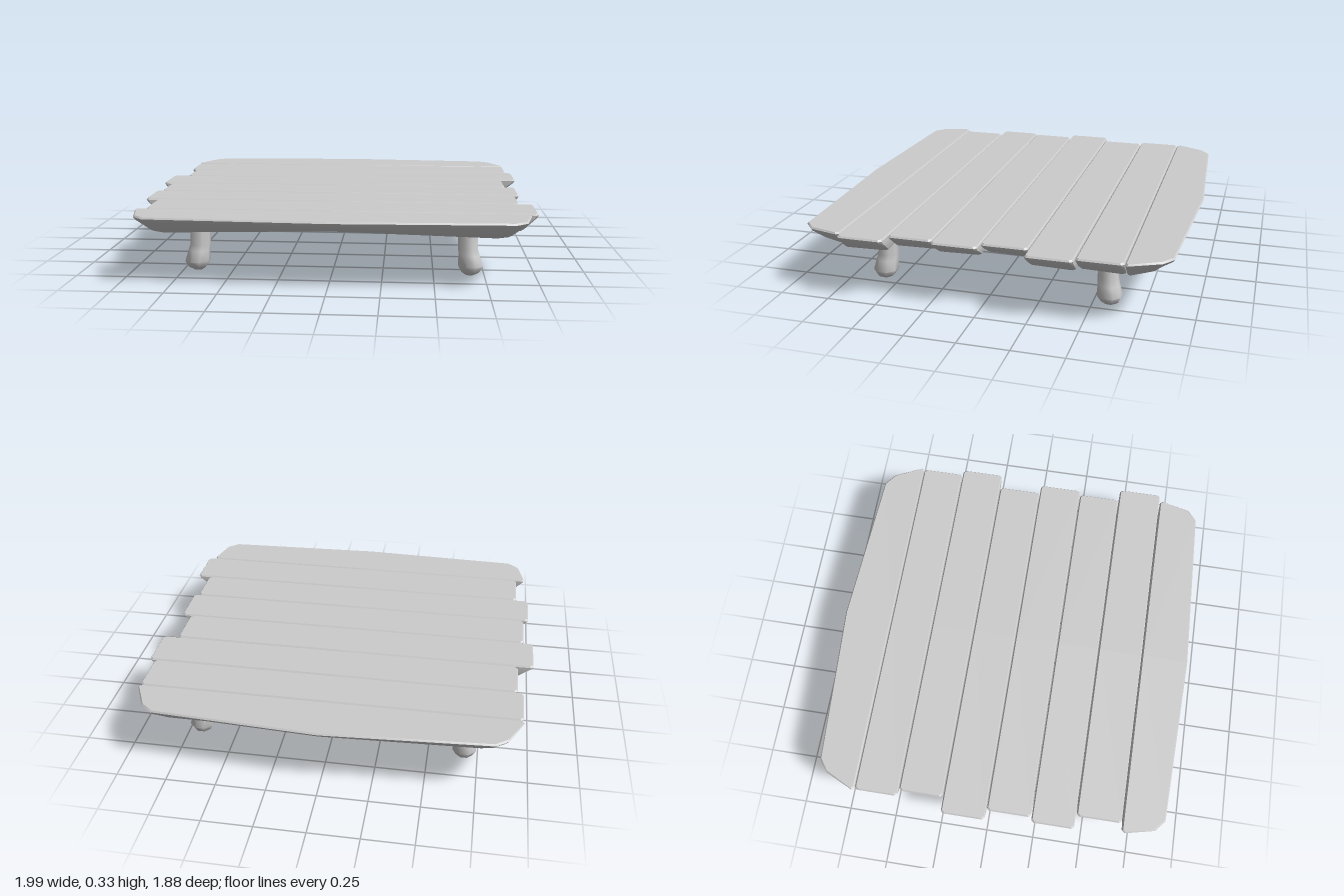
import * as THREE from 'three';
import { toCreasedNormals } from 'three/addons/utils/BufferGeometryUtils.js';

const material = new THREE.MeshStandardMaterial({ color: 0xcccccc });

// Skin a stack of rings (top to bottom) and close both ends with fans from point 0.
function loft(rings, crease, name) {
  const n = rings[0].length;
  const area = rings[0].reduce((s, p, i) => {
    const q = rings[0][(i + 1) % n];
    return s + p[0] * q[2] - q[0] * p[2];
  }, 0);
  if (area < 0) rings = rings.map((r) => [r[0], ...r.slice(1).reverse()]);
  const index = [];
  const last = (rings.length - 1) * n;
  for (let k = 0; k < last; k += n) {
    for (let i = 0; i < n; i++) {
      const j = (i + 1) % n;
      index.push(k + i, k + j, k + n + i, k + j, k + n + j, k + n + i);
    }
  }
  for (let i = 1; i < n - 1; i++) index.push(0, i + 1, i, last, last + i, last + i + 1);
  const geometry = new THREE.BufferGeometry();
  geometry.setAttribute('position', new THREE.Float32BufferAttribute(rings.flat(2), 3));
  geometry.setIndex(index);
  const mesh = new THREE.Mesh(toCreasedNormals(geometry, crease), material);
  mesh.name = name;
  return mesh;
}

// Underside arches up towards the middle, most strongly on the outer planks.
const underside = (x, z) => 0.27 - (Math.abs(x) / 0.88) * (0.008 + 0.02 * Math.min(1, Math.abs(z) / 0.85));

// A plank from its outline [x, z]; the ends, and the outer edge of end planks, slope inwards.
function plank(outline, isEnd, name) {
  const zs = outline.map((p) => p[1]);
  const zMid = (Math.min(...zs) + Math.max(...zs)) / 2;
  const ring = (inset, taper, height) => outline.map(([x, z]) => {
    const outer = isEnd ? Math.max(0, (Math.abs(z) - 0.69) / 0.25) : 0;
    const px = x - Math.sign(x) * (inset + 0.075 * taper);
    const pz = z + Math.sign(zMid - z) * inset - Math.sign(z) * 0.08 * taper * outer;
    return [px, height(underside(px, pz)), pz];
  });
  return loft([
    ring(0.006, 0, () => 0.332),
    ring(0, 0, () => 0.324),
    ring(0, 0.12, () => 0.31),
    ring(0, 0.88, (y) => y + 0.012),
    ring(0.006, 1, (y) => y),
  ], 0.6, name);
}

// Slightly splayed leg with a knobbly rounded foot: [y, radius, x, z]
const legRings = [
  [0.285, 0.052, 0.666, 0.567], [0.13, 0.052, 0.668, 0.568], [0.1, 0.055, 0.675, 0.573],
  [0.045, 0.064, 0.682, 0.579], [0.014, 0.045, 0.682, 0.582], [0, 0.022, 0.68, 0.583],
];

export function createModel() {
  const group = new THREE.Group();

  // Staggered middle planks: [z start, z end, sideways shift]
  const rows = [
    [-0.686, -0.465, 0], [-0.46, -0.235, 0.03], [-0.23, -0.004, -0.05],
    [0, 0.226, 0], [0.231, 0.45, -0.025], [0.455, 0.685, 0.042],
  ];
  const c = 0.012;
  rows.forEach(([z0, z1, shift], i) => {
    const l = shift - 0.95, r = shift + 0.95;
    group.add(plank([
      [0, z0], [r - c, z0], [r, z0 + c], [r, z1 - c], [r - c, z1],
      [0, z1], [l + c, z1], [l, z1 - c], [l, z0 + c], [l + c, z0],
    ], false, `plank${i + 1}`));
  });

  // End planks with a bowed outer edge and cut corners
  const ends = {
    backPlank: [-1, [[0.94, 0.69], [0.955, 0.7], [0.885, 0.85], [0.825, 0.895]], 0.943],
    frontPlank: [1, [[0.945, 0.69], [0.955, 0.705], [0.92, 0.855], [0.865, 0.903]], 0.934],
  };
  for (const [name, [side, half, tip]] of Object.entries(ends)) {
    const mirrored = half.map(([x, z]) => [-x, z]).reverse();
    const outline = [[0, 0.69], ...half, [0, tip], ...mirrored].map(([x, z]) => [x, z * side]);
    group.add(plank(outline, true, name));
  }

  // Four mirrored legs
  for (const sx of [1, -1]) {
    for (const sz of [1, -1]) {
      const rings = legRings.map(([y, r, x, z]) => Array.from({ length: 8 }, (_, i) => {
        const a = ((i + 0.5) / 8) * Math.PI * 2;
        return [sx * x + r * Math.cos(a), y, sz * z + r * Math.sin(a)];
      }));
      group.add(loft(rings, 1.0, `${sz > 0 ? 'front' : 'back'}${sx > 0 ? 'Left' : 'Right'}Leg`));
    }
  }
  return group;
}
